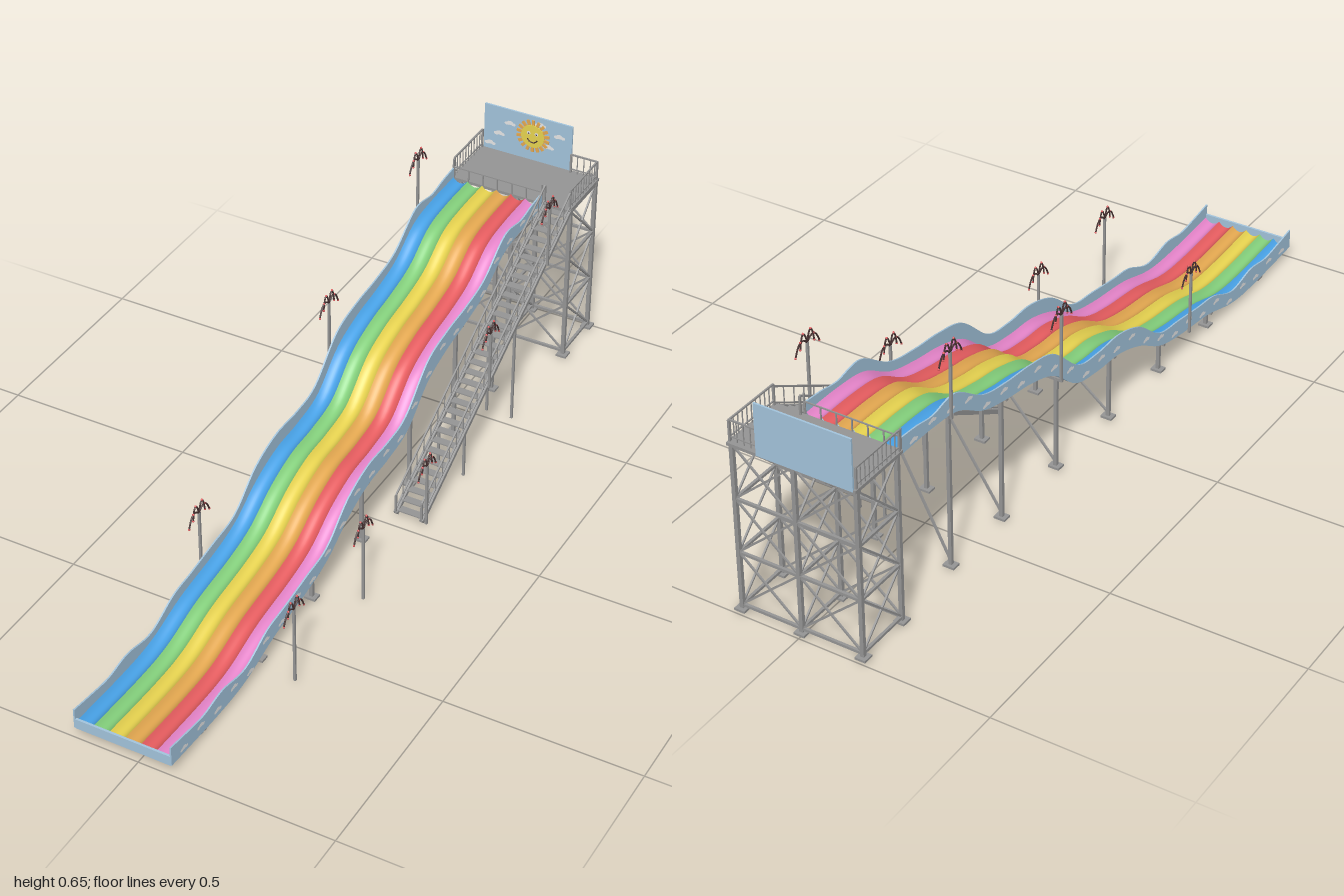
import * as THREE from 'three';
import { mergeGeometries } from 'three/addons/utils/BufferGeometryUtils.js';

const material = (name, color, side = THREE.FrontSide) => {
  const m = new THREE.MeshStandardMaterial({ color, side });
  m.name = name;
  return m;
};
const V = (x, y, z) => new THREE.Vector3(x, y, z);

// Height profiles along the slide, as [z, y]
const BOTTOM = [[1, .03], [.8, .02], [.68, .026], [.55, .06], [.4, .08], [.3, .105], [.2, .16], [.1, .192], [0, .2],
  [-.1, .222], [-.2, .3], [-.3, .335], [-.4, .352], [-.5, .378], [-.6, .435], [-.7, .45], [-.82, .452]];
const TOP = [[1, .083], [.93, .073], [.86, .066], [.78, .076], [.68, .062], [.58, .1], [.5, .11], [.4, .125], [.3, .142],
  [.2, .215], [.1, .248], [0, .25], [-.09, .268], [-.2, .36], [-.3, .387], [-.4, .398], [-.5, .42], [-.61, .488],
  [-.7, .481], [-.76, .49], [-.82, .495]];
const sample = pts => new THREE.SplineCurve(pts.map(p => new THREE.Vector2(...p))).getPoints(140);
const bottomPts = sample(BOTTOM), topPts = sample(TOP);
const heightAt = (pts, z) => {
  let i = 1;
  while (i < pts.length - 1 && pts[i].x > z) i++;
  const a = pts[i - 1], b = pts[i];
  return a.y + (b.y - a.y) * (z - a.x) / (b.x - a.x);
};

// Square bar between two points
function bar(list, a, b, w = .005) {
  const g = new THREE.BoxGeometry(w, w, a.distanceTo(b));
  const m = new THREE.Matrix4().lookAt(b, a, V(0, 1, 0));
  m.setPosition(a.clone().add(b).multiplyScalar(.5));
  list.push(g.applyMatrix4(m));
}
function box(list, w, h, d, x, y, z) {
  list.push(new THREE.BoxGeometry(w, h, d).translate(x, y, z));
}
// Puffy flat cloud facing +z, then turned and placed
function cloud(list, size, turn, x, y, z) {
  [[-.3, -.05, .22], [0, .05, .28], [.32, -.03, .2]].forEach(([cx, cy, r], i) =>
    list.push(new THREE.CircleGeometry(r * size, 12).scale(1.1, .75, 1)
      .translate(cx * size, cy * size, i * .0004).rotateY(turn).translate(x, y, z)));
}
// Sheet following the slide, with a cross-section dip
function sheet(x0, x1, lift, dip) {
  const g = new THREE.PlaneGeometry(1, 1, 10, 130).rotateX(-Math.PI / 2), p = g.attributes.position;
  for (let i = 0; i < p.count; i++) {
    const u = p.getX(i), z = .09 + p.getZ(i) * 1.816;
    p.setXYZ(i, x0 + (u + .5) * (x1 - x0), heightAt(bottomPts, z) + lift - dip * (1 - 4 * u * u), z);
  }
  g.computeVertexNormals();
  return g;
}

export function createModel() {
  const root = new THREE.Group();
  root.name = 'rainbowSlide';
  const sky = material('sky blue', 0xa3c4dc, THREE.DoubleSide);
  const steel = material('steel grey', 0x959595);
  const white = material('white', 0xf2f2f2);
  const dark = material('dark brown', 0x4a3434);
  const lanes = [['blue', 0x4aa6ec], ['green', 0x84d07c], ['yellow', 0xe8d450], ['orange', 0xe4a850],
    ['red', 0xec5f62], ['pink', 0xe886cc]].map(([n, c]) => material(n, c));
  const [, , yellow, orange, red] = lanes;
  const add = (name, geo, mat) => {
    const mesh = new THREE.Mesh(Array.isArray(geo) ? mergeGeometries(geo) : geo, mat);
    mesh.name = name;
    root.add(mesh);
    return mesh;
  };

  // Six trough lanes and the sheet below them
  const X0 = -.163, LW = .0413, X1 = X0 + 6 * LW;
  lanes.forEach((m, i) => add(m.name + 'Lane', sheet(X0 + i * LW, X0 + (i + 1) * LW, .016, .012), m));
  add('slideUnderside', sheet(X0, X1, 0, 0), sky);

  // Wavy side walls and end panel
  const outline = new THREE.Shape([...bottomPts, ...topPts.slice().reverse()]);
  for (const [name, x] of [['rightWall', X0], ['leftWall', X1 + .004]])
    add(name, new THREE.ExtrudeGeometry(outline, { depth: .004, bevelEnabled: false })
      .rotateY(-Math.PI / 2).translate(x, 0, 0), sky);
  add('endPanel', new THREE.BoxGeometry(X1 - X0, .027, .006).translate((X0 + X1) / 2, .042, .997), sky);
  const wallClouds = [];
  for (let i = 0; i < 25; i++) {
    const z = .95 - i * .072, y = (heightAt(bottomPts, z) + heightAt(topPts, z)) / 2 + (i % 2 ? .007 : -.007);
    cloud(wallClouds, .028, Math.PI / 2, X1 + .0055, y, z);
    cloud(wallClouds, .028, -Math.PI / 2, X0 - .0055, y, z);
  }
  add('wallClouds', wallClouds, white);

  // Slide supports: two legs, crossbeam and brace on the taller ones
  const supports = [];
  for (const z of [.85, .58, .335, .09, -.155, -.395, -.61]) {
    const y = heightAt(bottomPts, z) - .005;
    for (const x of [-.145, .065]) {
      bar(supports, V(x, 0, z), V(x, y, z), .009);
      box(supports, .03, .006, .024, x, .009, z);
    }
    bar(supports, V(X0, y, z), V(X1, y, z), .008);
    if (y > .15) bar(supports, V(-.145, .02, z), V(.065, y, z), .005);
  }
  add('slideSupports', supports, steel);

  // Tower: nine-post style frame with crossed braces in three storeys
  const tower = [], xs = [-.163, 0, .163], zs = [-.835, -.985], ys = [.02, .165, .31, .455];
  for (const x of xs) for (const z of zs) {
    bar(tower, V(x, 0, z), V(x, .46, z), .01);
    box(tower, .028, .006, .028, x, .009, z);
  }
  const crossed = (a, b, c, d) => {
    bar(tower, a, d, .0045);
    bar(tower, c, b, .0045);
  };
  ys.forEach((y, k) => {
    const h = ys[k + 1];
    for (const x of xs) {
      bar(tower, V(x, y, zs[0]), V(x, y, zs[1]), .007);
      if (h) crossed(V(x, y, zs[0]), V(x, h, zs[0]), V(x, y, zs[1]), V(x, h, zs[1]));
    }
    for (const z of zs) for (let i = 0; i < 2; i++) {
      bar(tower, V(xs[i], y, z), V(xs[i + 1], y, z), .007);
      if (h) crossed(V(xs[i], y, z), V(xs[i], h, z), V(xs[i + 1], y, z), V(xs[i + 1], h, z));
    }
  });
  add('towerFrame', tower, steel);
  add('platform', new THREE.BoxGeometry(.338, .008, .177).translate(-.002, .462, -.9105), steel);

  // Railing between two floor points
  const rails = [];
  const railing = (a, b, n, h = .055) => {
    const up = V(0, h, 0), low = V(0, .012, 0);
    bar(rails, a.clone().add(up), b.clone().add(up), .004);
    bar(rails, a.clone().add(low), b.clone().add(low), .003);
    for (let i = 0; i <= n; i++) {
      const p = a.clone().lerp(b, i / n);
      bar(rails, p, p.clone().add(up), i % n ? .0022 : .005);
    }
  };
  railing(V(-.167, .465, -.99), V(-.167, .465, -.83), 10);
  railing(V(.163, .465, -.99), V(.163, .465, -.83), 10);
  railing(V(.09, .465, -.988), V(.163, .465, -.988), 4);

  // Stairs with stringers, treads, handrails and posts
  const stairs = [], foot = .01, head = .46, zFoot = -.035, zHead = -.83, steps = 32;
  for (const x of [.092, .163]) {
    bar(stairs, V(x, foot, zFoot), V(x, head, zHead), .011);
    railing(V(x, foot, zFoot), V(x, head, zHead), 22);
    for (const [z, y] of [[-.26, .135], [-.53, .287]]) bar(stairs, V(x, 0, z), V(x, y, z), .006);
  }
  for (let i = 0; i < steps; i++) {
    const t = (i + .5) / steps;
    box(stairs, .07, .003, .021, .1275, foot + t * (head - foot), zFoot + t * (zHead - zFoot));
  }
  add('stairs', stairs, steel);
  add('railings', rails, steel);

  // Starting gates over the lanes
  const gates = [];
  for (let i = 0; i <= 6; i++) bar(gates, V(X0 + i * LW, .462, -.822), V(X0 + i * LW, .498, -.822), .003);
  bar(gates, V(X0, .498, -.822), V(X1, .498, -.822), .003);
  for (const x of [X0 - .002, X1 + .002]) bar(gates, V(x, .46, -.822), V(x, .52, -.822), .004);
  add('startGates', gates, steel);

  // Back panel with clouds and a smiling sun
  add('backPanel', new THREE.BoxGeometry(.252, .136, .005).translate(-.039, .529, -.9975), sky);
  const clouds = [];
  for (const [x, y] of [[-.09, .558], [-.003, .577], [.052, .557], [.022, .518], [-.12, .52], [-.146, .485]])
    cloud(clouds, .03, 0, x, y, -.9935);
  add('panelClouds', clouds, white);
  const sx = -.023, sy = .54, sz = -.992, rays = [];
  for (let i = 0; i < 18; i++)
    rays.push(new THREE.BoxGeometry(.008, .018, .003).translate(0, .038, 0)
      .rotateZ(i * Math.PI / 9).translate(sx, sy, sz));
  add('sunRays', rays, orange);
  add('sunFace', new THREE.CylinderGeometry(.033, .033, .005, 32).rotateX(Math.PI / 2).translate(sx, sy, sz), yellow);
  const smile = [new THREE.TorusGeometry(.015, .0016, 6, 16, Math.PI * .8).rotateZ(Math.PI * 1.1)
    .translate(sx, sy - .003, sz + .003)];
  const eyes = [];
  for (const s of [-1, 1]) {
    eyes.push(new THREE.CircleGeometry(.005, 14).translate(sx + s * .011, sy + .009, sz + .003));
    smile.push(new THREE.CircleGeometry(.0022, 10).translate(sx + s * .011, sy + .008, sz + .0035));
  }
  add('sunEyes', eyes, white);
  add('sunSmile', smile, dark);

  // Palm-shaped lamp posts: [x, z, base, top]
  const trunks = [], fronds = [], tips = [];
  for (const [x, z, base, top] of [[-.174, -.64, .44, .64], [-.174, -.18, .28, .485], [-.174, .44, .07, .27],
    [.171, -.69, .38, .575], [.171, -.375, .2, .39], [.171, -.045, 0, .205], [.171, .275, 0, .24], [.171, .6, 0, .24]]) {
    bar(trunks, V(x, base, z), V(x, top - .025, z), .006);
    for (const s of [-1, 1]) for (const [w, rise, drop] of [[.045, .014, .05], [.026, .026, .03]]) {
      const y = top - .027;
      const arc = new THREE.QuadraticBezierCurve3(V(x, y, z), V(x, y + rise * 2.4, z + s * w * .6),
        V(x, y + .012 - drop * .6, z + s * w));
      fronds.push(new THREE.TubeGeometry(arc, 8, .0022, 5));
      for (const t of [.5, 1]) tips.push(new THREE.SphereGeometry(.003, 6, 5).translate(...arc.getPoint(t).toArray()));
    }
  }
  add('palmTrunks', trunks, steel);
  add('palmFronds', fronds, dark);
  add('palmLights', tips, red);
  return root;
}
